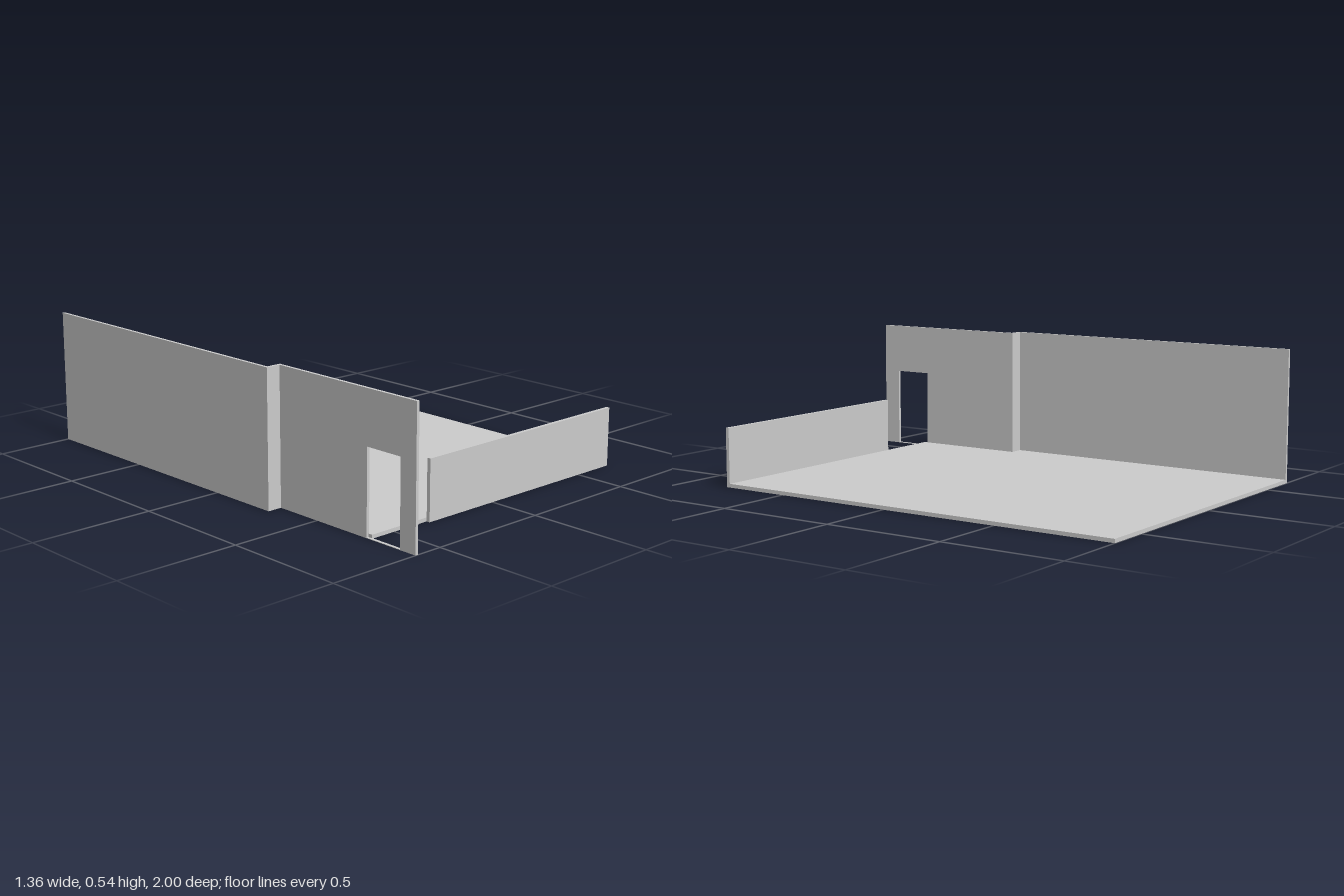
import * as THREE from 'three';

const material = new THREE.MeshStandardMaterial({ color: 0xcccccc, flatShading: true });

// Closed polygon from [a, b] corners
function outline(points) {
  return new THREE.Shape(points.map(([a, b]) => new THREE.Vector2(a, b)));
}

export function createModel() {
  const model = new THREE.Group();
  model.name = 'roomCorner';

  const add = (name, geometry) => {
    const mesh = new THREE.Mesh(geometry, material);
    mesh.name = name;
    model.add(mesh);
    return mesh;
  };

  // Box given by its limits on each axis
  const addBox = (name, [x0, x1], [y0, y1], [z0, z1]) => {
    add(name, new THREE.BoxGeometry(x1 - x0, y1 - y0, z1 - z0))
      .position.set((x0 + x1) / 2, (y0 + y1) / 2, (z0 + z1) / 2);
  };

  const height = 0.544;

  // Floor slab, stepped in where the side wall jogs; drawn as (x, -z), raised to y
  const floor = outline([
    [-0.67, 1], [-0.67, -0.29], [-0.61, -0.29], [-0.61, -0.777], [0.68, -0.777], [0.68, 1],
  ]);
  add('floor', new THREE.ExtrudeGeometry(floor, { depth: 0.015, bevelEnabled: false })
    .rotateX(-Math.PI / 2));

  // Long side wall and the short return that steps it inward
  addBox('sideWall', [-0.68, -0.668], [0, height], [-1, 0.302]);
  addBox('wallReturn', [-0.668, -0.62], [0, height], [0.29, 0.302]);

  // Wall with doorway, drawn as (-z, y) and extruded along x
  const wall = outline([[-1, 0], [-0.29, 0], [-0.29, height], [-1, height]]);
  wall.holes.push(outline([[-0.925, 0.002], [-0.925, 0.335], [-0.76, 0.335], [-0.76, 0.002]]));
  add('doorwayWall', new THREE.ExtrudeGeometry(wall, { depth: 0.012, bevelEnabled: false })
    .rotateY(Math.PI / 2)).position.x = -0.62;

  // Low wall along the front edge
  addBox('lowFrontWall', [-0.337, 0.68], [0, 0.24], [0.777, 0.792]);

  return model;
}
